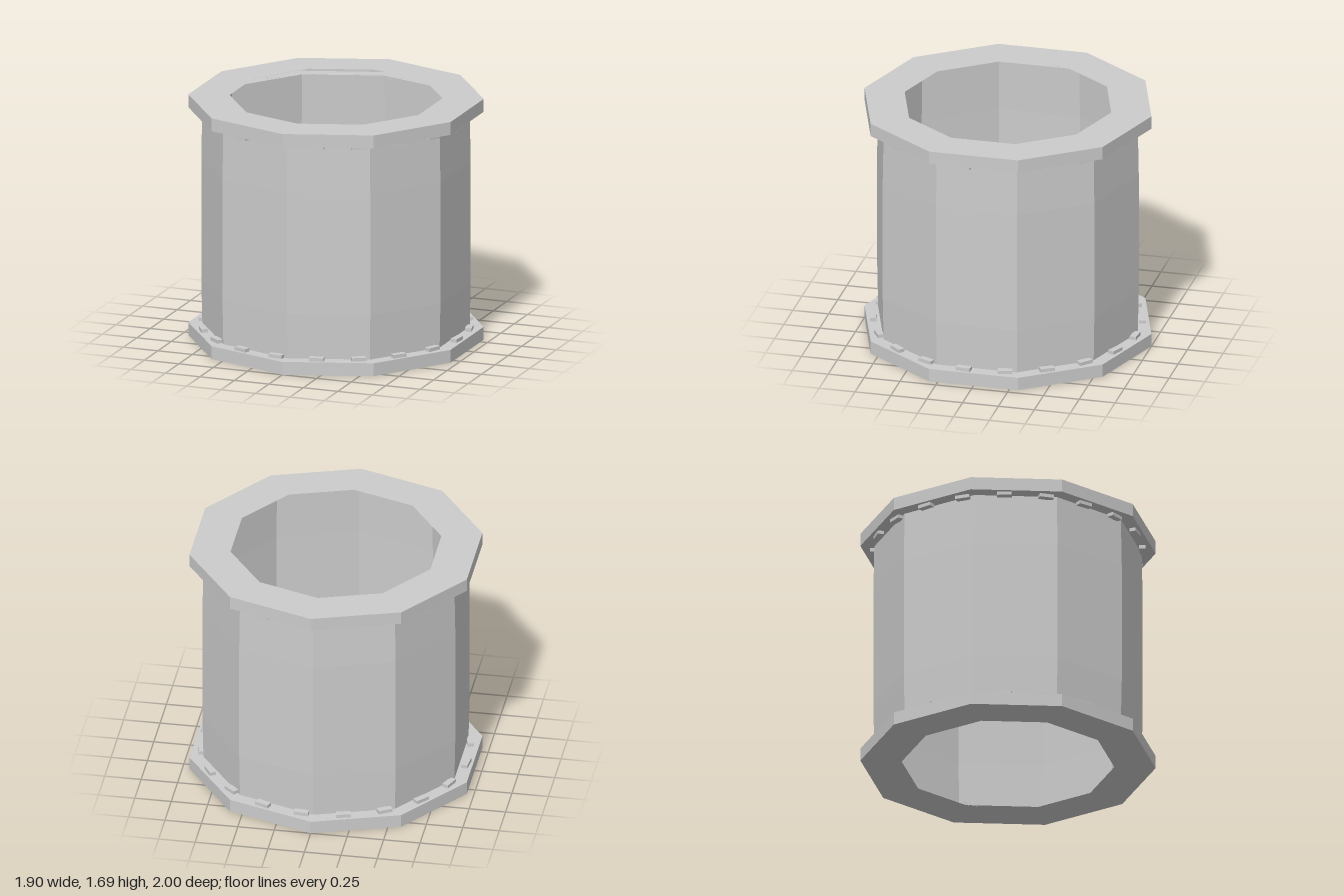
import * as THREE from 'three';

const SIDES = 10, HEIGHT = 1.69, FLANGE = 0.09, BOLTS = 20;

export function createModel() {
  const model = new THREE.Group();
  model.name = 'flangedPipe';
  const material = new THREE.MeshStandardMaterial({
    color: 0xcccccc, flatShading: true, side: THREE.DoubleSide,
  });

  // Ten-sided shell from [radius, height] pairs
  const addShell = (name, profile, parent) => {
    const points = profile.map(([r, y]) => new THREE.Vector2(r, y));
    const mesh = new THREE.Mesh(new THREE.LatheGeometry(points, SIDES), material);
    mesh.name = name;
    parent.add(mesh);
  };

  // Thin pipe wall, very slightly fuller in the middle
  addShell('pipeWall', [
    [0.905, FLANGE], [0.912, 0.4], [0.912, 1.25], [0.905, HEIGHT - FLANGE],
  ], model);

  // Hollow end flanges with a ring of small bolt heads facing the pipe
  const boltGeometry = new THREE.BoxGeometry(0.1, 0.025, 0.045);
  for (const top of [false, true]) {
    const height = (y) => (top ? HEIGHT - y : y);
    const flange = new THREE.Group();
    flange.name = top ? 'topFlange' : 'bottomFlange';
    const profile = [[0.72, 0], [1, 0], [1, FLANGE], [0.905, FLANGE]]
      .map(([r, y]) => [r, height(y)]);
    addShell('flangeRing', top ? profile.reverse() : profile, flange);

    for (let i = 0; i < BOLTS; i++) {
      const angle = THREE.MathUtils.degToRad(13 + i * 360 / BOLTS);
      const bolt = new THREE.Mesh(boltGeometry, material);
      bolt.name = 'boltHead';
      bolt.position.set(0.91 * Math.sin(angle), height(FLANGE + 0.0115), 0.91 * Math.cos(angle));
      bolt.rotation.y = angle;
      flange.add(bolt);
    }
    model.add(flange);
  }
  return model;
}
